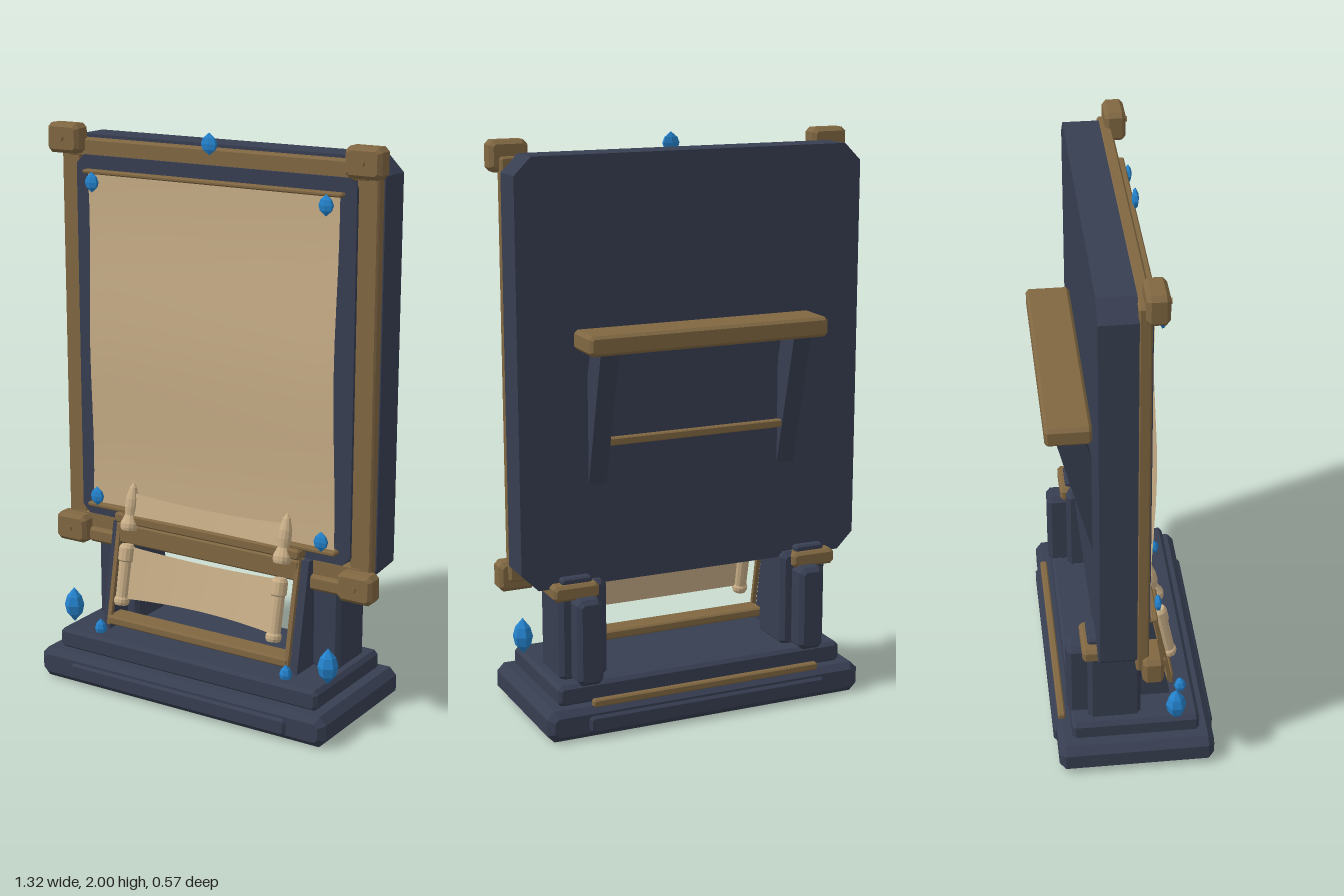
import * as THREE from 'three';

const mat = (name, color, extra = {}) => {
  const m = new THREE.MeshStandardMaterial({ color, ...extra });
  m.name = name;
  return m;
};

export function createModel() {
  const navy = mat('navy wood', 0x373e51);
  const gold = mat('aged gold wood', 0x806742);
  const paper = mat('parchment', 0xc8ae87, { side: THREE.DoubleSide });
  const blue = mat('blue crystal', 0x2382cc);
  const model = new THREE.Group();

  const add = (name, geo, material, x = 0, y = 0, z = 0, parent = model) => {
    const mesh = new THREE.Mesh(geo, material);
    mesh.name = name;
    mesh.position.set(x, y, z);
    parent.add(mesh);
    return mesh;
  };
  const flat = (geo) => {
    const g = geo.index ? geo.toNonIndexed() : geo;
    g.computeVertexNormals();
    return g;
  };

  // Rectangle with cut corners, centred on the origin
  const cutRect = (w, h, c, Type = THREE.Shape) => {
    const x = w / 2, y = h / 2;
    return new Type([[x - c, -y], [x, -y + c], [x, y - c], [x - c, y], [-x + c, y], [-x, y - c], [-x, -y + c], [-x + c, -y]]
      .map(([a, b]) => new THREE.Vector2(a, b)));
  };
  // Box between two corners with every edge chamfered by b
  const block = (name, material, [x0, x1], [y0, y1], [z0, z1], b = 0.01) => {
    const d = z1 - z0;
    const geo = new THREE.ExtrudeGeometry(cutRect(x1 - x0 - 2 * b, y1 - y0 - 2 * b, b * 0.6),
      { depth: d - 2 * b, bevelEnabled: true, bevelSize: b, bevelThickness: b, bevelSegments: 1 });
    geo.translate(0, 0, -d / 2 + b);
    return add(name, geo, material, (x0 + x1) / 2, (y0 + y1) / 2, (z0 + z1) / 2);
  };
  // Same block on both sides
  const pair = (name, material, [x0, x1], y, z, b) => {
    block(name + 'Left', material, [x0, x1], y, z, b);
    block(name + 'Right', material, [-x1, -x0], y, z, b);
  };
  // Flat ring with cut outer corners
  const ring = (name, material, w, h, c, iw, ih, y, z, depth) => {
    const s = cutRect(w, h, c);
    s.holes.push(cutRect(iw, ih, 0.001, THREE.Path));
    add(name, new THREE.ExtrudeGeometry(s, { depth, bevelEnabled: false }), material, 0, y, z);
  };
  // Side profile in (z, y), extruded across x
  const profile = (name, material, pts, x, width) => {
    const s = new THREE.Shape(pts.map(([z, y]) => new THREE.Vector2(-z, y)));
    const geo = new THREE.ExtrudeGeometry(s, { depth: width, bevelEnabled: false });
    geo.translate(0, 0, -width / 2).rotateY(Math.PI / 2);
    return add(name, geo, material, x);
  };
  // Faceted crystal with a wide girdle
  const crystal = (name, x, y, z, r, h, depth = r) => {
    const pts = [[0, -h], [r * 0.8, -h * 0.5], [r, 0], [r * 0.75, h * 0.5], [0, h]];
    const geo = flat(new THREE.LatheGeometry(pts.map(([a, b]) => new THREE.Vector2(a, b)), 6));
    add(name, flat(geo.scale(1, 1, depth / r)), blue, x, y, z);
  };

  // Stepped plinth
  block('plinth', navy, [-0.595, 0.595], [0, 0.11], [-0.275, 0.275], 0.022);
  block('plinthFrontPanel', navy, [-0.45, 0.45], [0.02, 0.08], [0.26, 0.286], 0.008);
  block('plinthBackPanel', navy, [-0.45, 0.45], [0.02, 0.08], [-0.286, -0.26], 0.008);
  block('plinthStep', navy, [-0.54, 0.54], [0.105, 0.18], [-0.225, 0.225], 0.012);
  block('plinthBackTrim', gold, [-0.43, 0.43], [0.105, 0.132], [-0.268, -0.242], 0.005);

  // Posts, rear pilasters and caps
  pair('post', navy, [0.335, 0.51], [0.17, 0.52], [-0.165, 0.02], 0.015);
  pair('pilaster', navy, [0.375, 0.47], [0.17, 0.475], [-0.235, -0.15], 0.015);
  pair('postCap', gold, [0.37, 0.535], [0.465, 0.52], [-0.185, 0.05], 0.01);
  pair('postCapTop', navy, [0.39, 0.5], [0.515, 0.54], [-0.165, -0.12], 0.006);

  // Board with cut corners
  add('board', new THREE.ExtrudeGeometry(cutRect(1.265, 1.455, 0.06), { depth: 0.125, bevelEnabled: false }),
    navy, 0, 1.228, -0.135);

  // Outer gold frame, corner blocks and pegs
  pair('frameStile', gold, [0.55, 0.63], [0.5, 1.945], [-0.012, 0.03], 0.006);
  block('frameTopRail', gold, [-0.6, 0.6], [1.88, 1.945], [-0.012, 0.032], 0.006);
  block('frameBottomRail', gold, [-0.6, 0.6], [0.5, 0.575], [-0.012, 0.032], 0.006);
  for (const y of [0.513, 1.945]) {
    pair('cornerBlock', gold, [0.527, 0.66], [y - 0.052, y + 0.052], [0.008, 0.08], 0.013);
    for (const s of [-1, 1]) {
      add('peg', new THREE.CylinderGeometry(0.01, 0.01, 0.016, 8).rotateX(Math.PI / 2), gold, s * 0.594, y, 0.082);
    }
  }

  // Inner navy frame and the large sheet
  ring('innerFrame', navy, 1.115, 1.315, 0.03, 1.005, 1.21, 1.232, -0.01, 0.052);
  const sheet = new THREE.PlaneGeometry(1, 1.21, 12, 10);
  const sp = sheet.attributes.position;
  for (let i = 0; i < sp.count; i++) {
    const x = sp.getX(i), v = sp.getY(i) / 0.605;
    sp.setX(i, x * (0.993 + 0.012 * v * v));
    sp.setZ(i, 0.008 * Math.cos(v * 4) + 0.006 * (2 * x) ** 2);
  }
  sheet.computeVertexNormals();
  add('largeSheet', sheet, paper, 0, 1.23, 0.052);
  block('sheetTopRod', gold, [-0.515, 0.515], [1.828, 1.842], [0.03, 0.07], 0.004);
  block('sheetBottomRod', gold, [-0.515, 0.515], [0.612, 0.628], [0.03, 0.075], 0.004);

  // Crystals
  crystal('topCrystal', 0, 1.963, 0.05, 0.034, 0.038, 0.012);
  for (const s of [-1, 1]) {
    crystal('sheetCrystal', s * 0.466, 1.802, 0.08, 0.029, 0.036, 0.013);
    crystal('sheetCrystal', s * 0.466, 0.66, 0.08, 0.029, 0.036, 0.013);
    crystal('baseCrystal', s * 0.535, 0.245, 0.14, 0.036, 0.066);
    crystal('smallCrystal', s * 0.39, 0.195, 0.175, 0.022, 0.036);
  }

  // Lectern: sloping sides, gold edging and cross rails
  for (const s of [-1, 1]) {
    profile('lecternSide', navy, [[0.135, 0.175], [0.06, 0.57], [0.03, 0.57], [0.01, 0.175]], s * 0.395, 0.03);
    profile('lecternEdge', gold, [[0.15, 0.205], [0.075, 0.58], [0.06, 0.58], [0.135, 0.205]], s * 0.374, 0.016);
  }
  block('lecternShelf', gold, [-0.38, 0.38], [0.205, 0.238], [0.07, 0.152], 0.006);
  block('lecternCrossRail', gold, [-0.38, 0.38], [0.5, 0.575], [0.025, 0.083], 0.006);
  block('lecternTopRail', gold, [-0.385, 0.385], [0.578, 0.614], [0.03, 0.09], 0.006);

  // Small scroll leaning on the lectern
  const scroll = new THREE.Group();
  scroll.name = 'scroll';
  scroll.position.set(0, 0.3, 0.142);
  scroll.rotation.x = -0.2;
  model.add(scroll);
  const lathe = (pts) => new THREE.LatheGeometry(pts.map(([a, b]) => new THREE.Vector2(a, b)), 12);
  const roller = flat(lathe([[0, -0.01], [0.024, -0.01], [0.028, 0], [0.028, 0.012], [0.023, 0.02], [0.024, 0.15],
    [0.029, 0.155], [0.029, 0.2], [0.022, 0.212], [0, 0.214]]));
  const finial = flat(lathe([[0, 0.265], [0.03, 0.265], [0.033, 0.275], [0.033, 0.29], [0.026, 0.305], [0.02, 0.32],
    [0.024, 0.35], [0.023, 0.38], [0.013, 0.42], [0, 0.44]]));
  for (const s of [-1, 1]) {
    add('roller', roller, paper, s * 0.32, 0, 0, scroll);
    add('rollerFinial', finial, paper, s * 0.32, 0, 0, scroll);
  }
  // Sagging sheet piece between the rollers
  const sag = (name, h, y, bow, z) => {
    const geo = new THREE.PlaneGeometry(0.61, h, 12, 1);
    const p = geo.attributes.position;
    for (let i = 0; i < p.count; i++) {
      const u = p.getX(i) / 0.305;
      p.setZ(i, -bow * (1 - u * u));
      p.setY(i, p.getY(i) + 0.012 * (u * u - 0.5) * Math.sign(p.getY(i)));
    }
    geo.computeVertexNormals();
    add(name, geo, paper, 0, y, z, scroll);
  };
  sag('scrollSheet', 0.18, 0.11, 0.02, 0);
  sag('scrollSheetTop', 0.1, 0.345, 0.006, 0.006);

  // Rear shelf with sloping brackets and a stretcher
  block('rearShelf', gold, [-0.437, 0.437], [1.318, 1.386], [-0.288, -0.135], 0.01);
  for (const s of [-1, 1]) {
    profile('shelfBracket', navy, [[-0.13, 1.21], [-0.165, 1.325], [-0.255, 1.325], [-0.135, 0.85], [-0.13, 0.85]],
      s * 0.355, 0.065);
  }
  block('shelfStretcher', gold, [-0.33, 0.33], [0.985, 1.012], [-0.168, -0.142], 0.004);

  return model;
}
